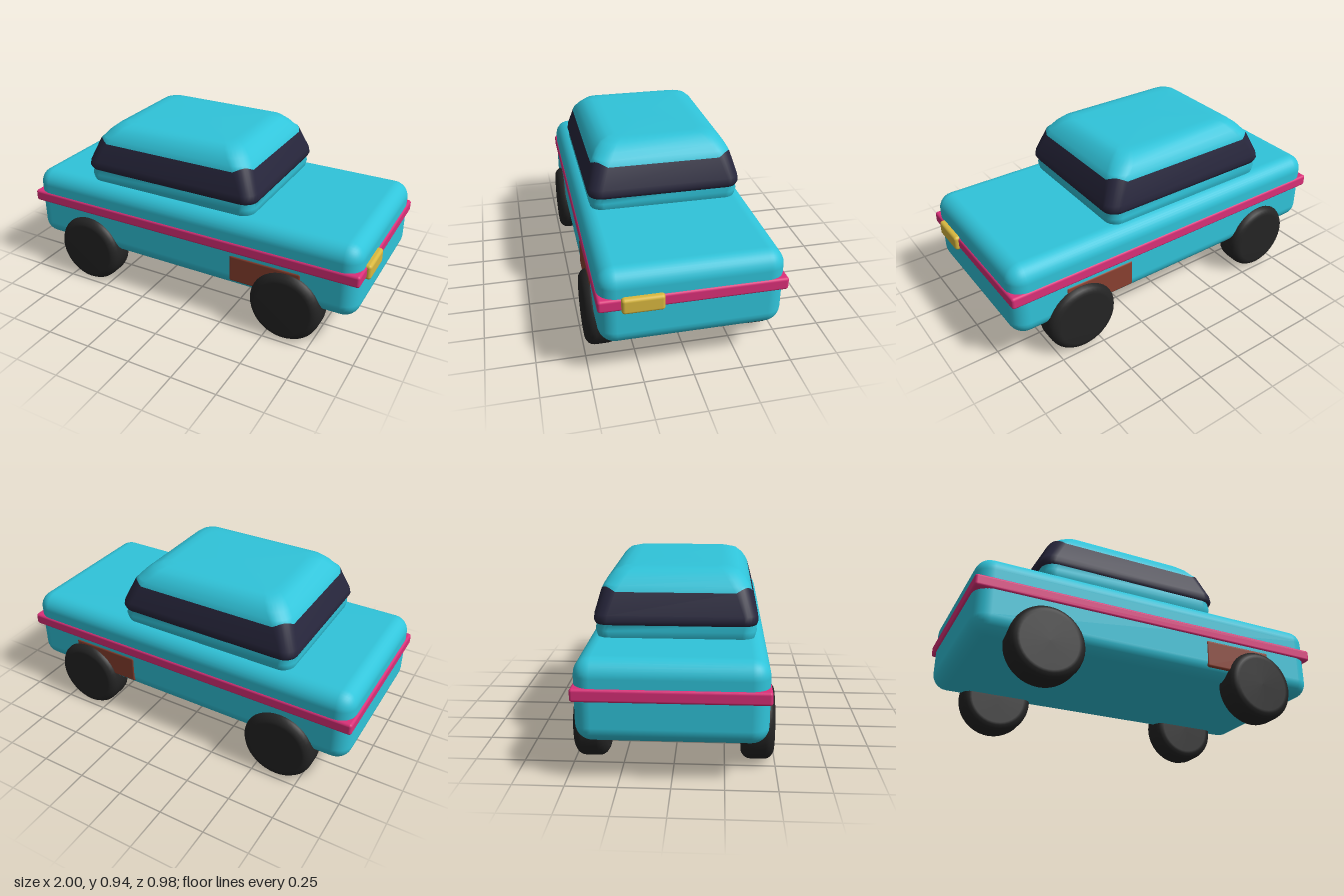
import * as THREE from 'three';
import { RoundedBoxGeometry } from 'three/addons/geometries/RoundedBoxGeometry.js';

const mat = (name, color) => {
  const m = new THREE.MeshStandardMaterial({ color });
  m.name = name;
  return m;
};

// Rounded box from its min and max on each axis
function roundedBox(name, [x0, x1], [y0, y1], [z0, z1], radius, material) {
  const geo = new RoundedBoxGeometry(x1 - x0, y1 - y0, z1 - z0, 4, radius);
  const mesh = new THREE.Mesh(geo, material);
  mesh.position.set((x0 + x1) / 2, (y0 + y1) / 2, (z0 + z1) / 2);
  mesh.name = name;
  return mesh;
}

// Stacks rounded rectangles; each row is [y, x0, x1, halfDepth, cornerRadius, materialIndex, cornerLift]
function loft(rows) {
  const steps = 6, n = 4 * (steps + 1);
  const pos = [], index = [], geo = new THREE.BufferGeometry();
  for (const [y, x0, x1, hz, r, , lift = 0] of rows) {
    const cx = (x0 + x1) / 2, hx = (x1 - x0) / 2;
    for (let q = 0; q < 4; q++) {
      const sx = q === 0 || q === 3 ? 1 : -1, sz = q < 2 ? 1 : -1;
      for (let k = 0; k <= steps; k++) {
        const a = (q + k / steps) * Math.PI / 2;
        const up = lift * Math.sin(Math.PI * k / steps);
        const rr = r - up * 0.5;
        pos.push(cx + sx * (hx - r) + rr * Math.cos(a), y + up, sz * (hz - r) + rr * Math.sin(a));
      }
    }
  }
  for (let j = 0; j < rows.length - 1; j++) {
    geo.addGroup(index.length, n * 6, rows[j][5]);
    for (let i = 0; i < n; i++) {
      const a = j * n + i, b = j * n + (i + 1) % n;
      index.push(a, a + n, b, b, a + n, b + n);
    }
  }
  // Flat cap on the last row
  const last = rows.length - 1, [y, x0, x1, , , m] = rows[last];
  const centre = pos.length / 3;
  pos.push((x0 + x1) / 2, y, 0);
  geo.addGroup(index.length, n * 3, m);
  for (let i = 0; i < n; i++) index.push(centre, last * n + (i + 1) % n, last * n + i);
  geo.setAttribute('position', new THREE.Float32BufferAttribute(pos, 3));
  geo.setIndex(index);
  geo.computeVertexNormals();
  return geo;
}

export function createModel() {
  const car = new THREE.Group();
  car.name = 'car';
  const paint = mat('turquoise paint', 0x30c4da);
  const pink = mat('pink trim', 0xdb3079);
  const glass = mat('dark glass', 0x27263c);
  const rubber = mat('black rubber', 0x242424);
  const rust = mat('rust brown', 0x8a4030);
  const amber = mat('amber lamp', 0xd9b83f);

  // Body, belt line, lamp and the panels beside the wheels
  car.add(
    roundedBox('body', [-0.99, 0.972], [0.205, 0.615], [-0.453, 0.453], 0.085, paint),
    roundedBox('beltTrim', [-1, 0.98], [0.42, 0.485], [-0.459, 0.459], 0.014, pink),
    roundedBox('lamp', [0.93, 1], [0.41, 0.492], [0.145, 0.35], 0.016, amber),
    roundedBox('sidePanels', [0.28, 0.68], [0.253, 0.407], [-0.457, 0.457], 0.012, rust)
  );

  // Cabin: sill, overhanging window band, rounded roof
  const cabin = new THREE.Mesh(loft([
    [0.58, -0.62, 0.35, 0.38, 0.06, 0],
    [0.62, -0.635, 0.368, 0.392, 0.065, 0],
    [0.65, -0.64, 0.374, 0.4, 0.07, 0],
    [0.685, -0.635, 0.37, 0.393, 0.07, 1],
    [0.682, -0.643, 0.378, 0.399, 0.07, 1],
    [0.7, -0.652, 0.386, 0.405, 0.07, 1],
    [0.73, -0.645, 0.38, 0.403, 0.07, 1],
    [0.838, -0.6, 0.335, 0.374, 0.08, 0, 0.02],
    [0.865, -0.58, 0.315, 0.361, 0.085, 0],
    [0.895, -0.553, 0.288, 0.341, 0.085, 0],
    [0.925, -0.515, 0.25, 0.308, 0.075, 0],
    [0.938, -0.475, 0.21, 0.265, 0.06, 0],
    [0.94, -0.43, 0.165, 0.22, 0.05, 0],
  ]), [paint, glass]);
  cabin.name = 'cabin';
  car.add(cabin);

  // Wheels with softened shoulders
  const profile = [[0, -0.08], [0.15, -0.08], [0.165, -0.079], [0.182, -0.068], [0.193, -0.052], [0.196, -0.035]];
  const points = [...profile, ...profile.map(([r, h]) => [r, -h]).reverse()].map(p => new THREE.Vector2(...p));
  const wheelGeo = new THREE.LatheGeometry(points, 40).rotateX(Math.PI / 2);
  for (const x of [-0.625, 0.602]) {
    for (const side of [1, -1]) {
      const wheel = new THREE.Mesh(wheelGeo, rubber);
      wheel.name = (x > 0 ? 'left' : 'right') + (side > 0 ? 'Front' : 'Back') + 'Wheel';
      wheel.position.set(x, 0.196, side * 0.411);
      car.add(wheel);
    }
  }
  return car;
}
